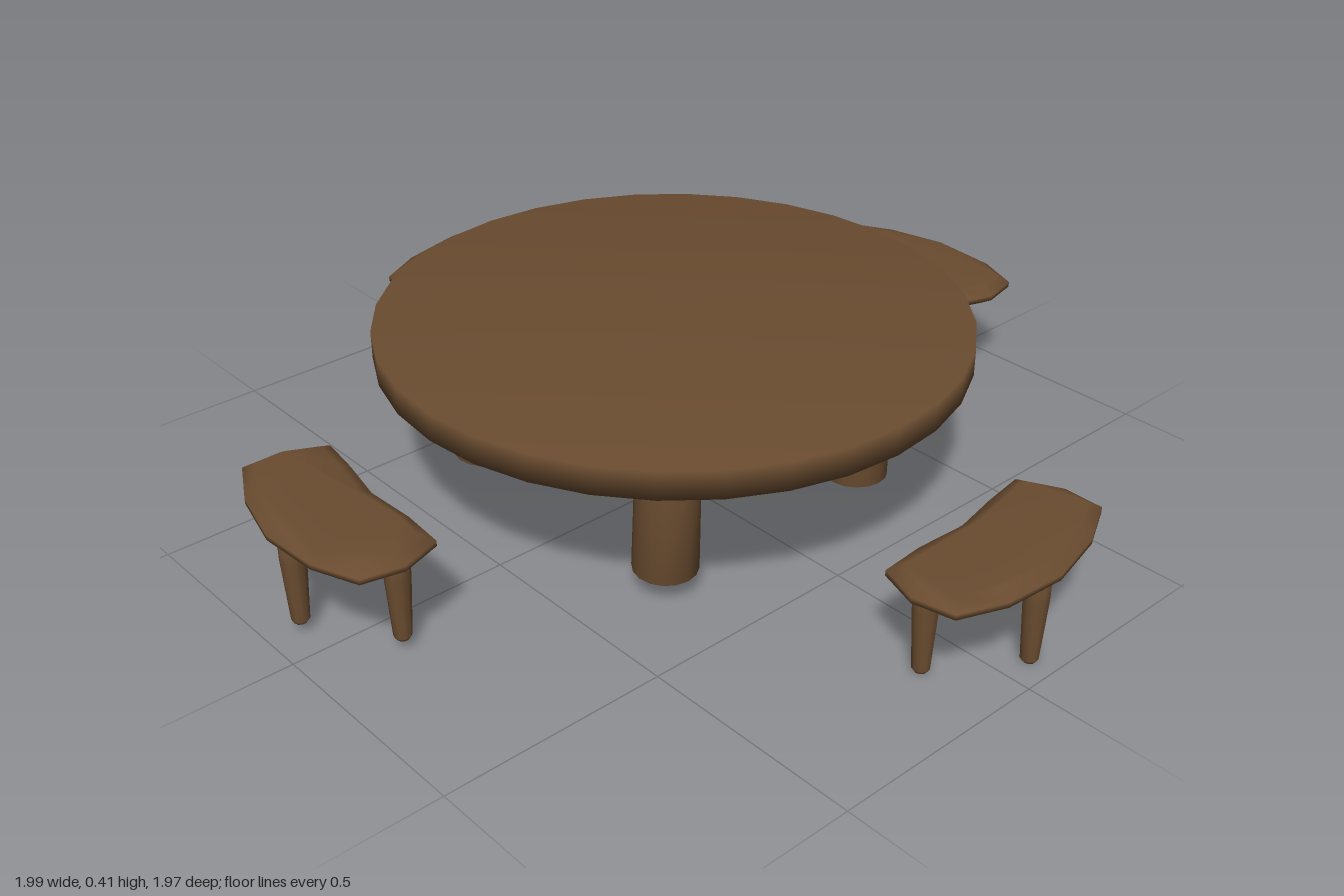
import * as THREE from 'three';
import { mergeVertices } from 'three/addons/utils/BufferGeometryUtils.js';

// Weld shared corners so shading runs smoothly over the edges
function smooth(geometry) {
  geometry.deleteAttribute('uv');
  geometry.deleteAttribute('normal');
  const welded = mergeVertices(geometry, 1e-4);
  welded.computeVertexNormals();
  return welded;
}

// Curved bench outline as [x, z], placed at the front of the table
const SEAT = [
  [-0.28, 0.71], [-0.18, 0.725], [-0.07, 0.748], [0.05, 0.742], [0.153, 0.75], [0.183, 0.84],
  [0.163, 0.93], [0.06, 0.97], [-0.08, 0.98], [-0.22, 0.945], [-0.325, 0.89], [-0.325, 0.80],
];
const SEAT_LEGS = [[-0.24, 0.785], [-0.08, 0.93], [0.10, 0.81]];

export function createModel() {
  const model = new THREE.Group();
  model.name = 'roundTableWithBenches';
  const wood = new THREE.MeshStandardMaterial({ color: 0x6a4c30 });
  wood.name = 'brownWood';

  const add = (parent, name, geometry, x = 0, y = 0, z = 0) => {
    const mesh = new THREE.Mesh(geometry, wood);
    mesh.name = name;
    mesh.position.set(x, y, z);
    parent.add(mesh);
    return mesh;
  };

  // Table
  const table = new THREE.Group();
  table.name = 'table';
  model.add(table);
  add(table, 'tableTop', smooth(new THREE.CylinderGeometry(0.655, 0.655, 0.063, 32)), -0.027, 0.377, -0.013)
    .scale.z = 0.985;

  // Four stout legs, each leaning a little: x, z, tilt
  const legGeometry = smooth(new THREE.CylinderGeometry(0.066, 0.07, 0.30, 16));
  const tableLegs = [[-0.313, 0.295, -0.07], [-0.313, -0.26, -0.07], [0.298, 0.295, -0.04], [0.298, -0.26, 0.03]];
  for (const [x, z, tilt] of tableLegs) {
    add(table, 'tableLeg', legGeometry, x, 0.205, z).rotation.z = tilt;
  }

  // Bench leg: tapered, with a rounded foot
  const benchLegGeometry = smooth(new THREE.LatheGeometry(
    [[0, 0], [0.014, 0.001], [0.019, 0.009], [0.027, 0.15], [0.027, 0.205], [0, 0.205]]
      .map(([r, y]) => new THREE.Vector2(r, y)), 10));

  // One bench: place() maps the front outline to its side of the table
  function addBench(name, place, lift) {
    const bench = new THREE.Group();
    bench.name = name;
    const outline = new THREE.Shape(SEAT.map((p) => {
      const [x, z] = place(...p);
      return new THREE.Vector2(x, -z);
    }));
    const seat = new THREE.ExtrudeGeometry(outline, {
      depth: 0.012, bevelThickness: 0.017, bevelSize: 0.027, bevelOffset: -0.027, bevelSegments: 1,
    });
    seat.rotateX(-Math.PI / 2);
    add(bench, 'benchSeat', smooth(seat), 0, 0.216 + lift, 0);
    for (const p of SEAT_LEGS) {
      const [x, z] = place(...p);
      add(bench, 'benchLeg', benchLegGeometry, x, lift, z);
    }
    model.add(bench);
  }

  addBench('frontBench', (x, z) => [x, z], 0.024);
  addBench('backBench', (x, z) => [x + 0.003, -z - 0.006], 0.024);
  addBench('leftBench', (x, z) => [z + 0.014, x + 0.01], 0);
  addBench('rightBench', (x, z) => [-z - 0.02, -x - 0.182], 0);

  return model;
}
